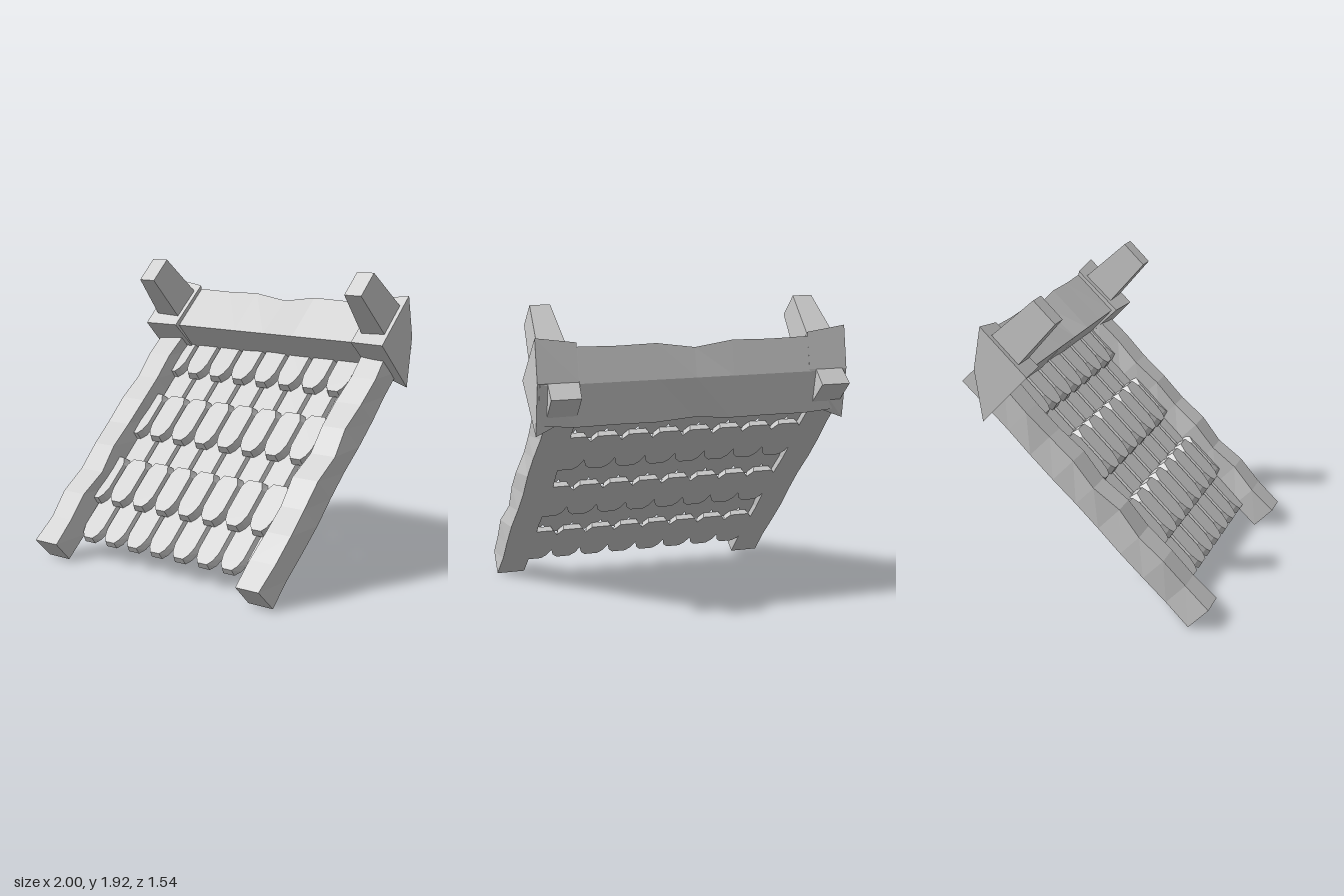
import * as THREE from 'three';

const mat = new THREE.MeshStandardMaterial({ color: 0xcccccc, flatShading: true });

function add(parent, geo, name, x = 0, y = 0, z = 0) {
  const m = new THREE.Mesh(geo, mat);
  m.name = name;
  m.position.set(x, y, z);
  parent.add(m);
  return m;
}

// Move every vertex of a geometry by a rule.
function warp(geo, rule) {
  const p = geo.attributes.position, v = new THREE.Vector3();
  for (let i = 0; i < p.count; i++) {
    rule(v.fromBufferAttribute(p, i));
    p.setXYZ(i, v.x, v.y, v.z);
  }
  geo.computeVertexNormals();
  return geo;
}

// Skin four-cornered [z, y] sections (top, front, bottom, back) along x, with end caps.
function loft(sections) {
  const out = [];
  const tri = (...pts) => pts.forEach(p => out.push(...p));
  const rings = sections.map(s => s.pts.map(([z, y]) => [s.x, y, z]));
  for (let i = 0; i < rings.length - 1; i++) {
    for (let j = 0; j < 4; j++) {
      const k = (j + 1) % 4;
      const a = rings[i][j], b = rings[i][k], c = rings[i + 1][k], d = rings[i + 1][j];
      tri(a, b, c);
      tri(a, c, d);
    }
  }
  const s = rings[0], e = rings[rings.length - 1];
  tri(s[0], s[2], s[1]);
  tri(s[0], s[3], s[2]);
  tri(e[0], e[1], e[2]);
  tri(e[0], e[2], e[3]);
  const g = new THREE.BufferGeometry();
  g.setAttribute('position', new THREE.Float32BufferAttribute(out, 3));
  g.computeVertexNormals();
  return g;
}

// Shingle with clipped corners; the outer face is inset to bevel its rim.
function shingleGeometry(length, depth) {
  const half = [[0.045, 0], [0.078, 0.035], [0.1, 0.1], [0.1, length - 0.055], [0.066, length]];
  const outline = [...half, ...half.map(([x, y]) => [-x, y]).reverse()];
  const shape = new THREE.Shape(outline.map(([x, y]) => new THREE.Vector2(x, y)));
  const g = new THREE.ExtrudeGeometry(shape, { depth, bevelEnabled: false });
  return warp(g, v => {
    if (v.z > depth / 2) {
      v.x *= 0.83;
      v.y = length / 2 + (v.y - length / 2) * 0.94;
    }
  });
}

export function createModel() {
  const model = new THREE.Group();
  model.name = 'roofPanel';

  // Sloped frame: local y runs up the slope, local z points out of the roof.
  const slope = new THREE.Group();
  slope.name = 'slope';
  slope.rotation.x = -Math.PI / 4;
  model.add(slope);

  // Shingles: a lower layer, and a staggered upper layer covering its joints.
  const lower = shingleGeometry(0.355, 0.042);
  const upper = shingleGeometry(0.36, 0.05);
  for (let r = 0; r < 3; r++) {
    for (let i = 0; i < 8; i++) add(slope, lower, 'lowerShingle', -0.7 + i * 0.2, -0.297 + r * 0.545, 0.467);
    for (let i = 0; i < 9; i++) add(slope, upper, 'upperShingle', -0.8 + i * 0.2, -0.021 + r * 0.545, 0.509);
  }

  // Side beams, hewn unevenly on the top and sides.
  const length = 2.0;
  const dips = [0, -0.006, 0.006, -0.012, 0.012, -0.008, 0.008, -0.004, 0, 0, 0];
  for (const [name, x, flip] of [['rightBeam', -0.884, 1], ['leftBeam', 0.838, -1]]) {
    const g = warp(new THREE.BoxGeometry(0.186, length, 0.176, 1, 10, 1), v => {
      const k = Math.round((v.y / length + 0.5) * 10);
      if (v.z > 0) {
        v.z += dips[k];
        v.x += flip * 0.012 * Math.sin(k * 2.1 + (v.x > 0 ? 1 : 0));
      } else {
        v.x += flip * 0.006 * Math.sin(k * 1.7);
      }
    });
    add(slope, g, name, x, 0.549, 0.555);
  }

  // Ridge beam with a wavy crest and lower edge.
  const ridge = [];
  for (let i = 0; i <= 8; i++) {
    const x = -0.98 + i * 0.245;
    const swell = i % 4 === 0 ? 0 : i % 2 ? 0.035 : 0.03;
    ridge.push({ x, pts: [[-0.64, 1.68 + swell], [-0.4, 1.48], [-0.63, 1.25 - swell * 0.5], [-0.68, 1.5]] });
  }
  add(model, loft(ridge), 'ridgeBeam');

  // End blocks around the ridge, larger on the outside.
  const outer = [[-0.635, 1.775], [-0.345, 1.485], [-0.63, 1.19], [-0.68, 1.51]];
  const inner = [[-0.635, 1.74], [-0.365, 1.485], [-0.57, 1.29], [-0.68, 1.51]];
  add(model, loft([{ x: -1, pts: outer }, { x: -0.748, pts: inner }]), 'rightEndBlock');
  add(model, loft([{ x: 0.742, pts: inner }, { x: 0.995, pts: outer }]), 'leftEndBlock');

  // Tapered posts standing out of the end blocks.
  for (const [name, x, lean] of [['rightPost', -0.868, 0.015], ['leftPost', 0.875, 0]]) {
    const g = warp(new THREE.BoxGeometry(0.19, 0.244, 0.40), v => {
      if (v.z > 0) {
        v.x = v.x * 0.67 + lean;
        v.y *= 0.78;
      }
    });
    add(slope, g, name, x, 1.504, 0.938);
  }
  return model;
}
